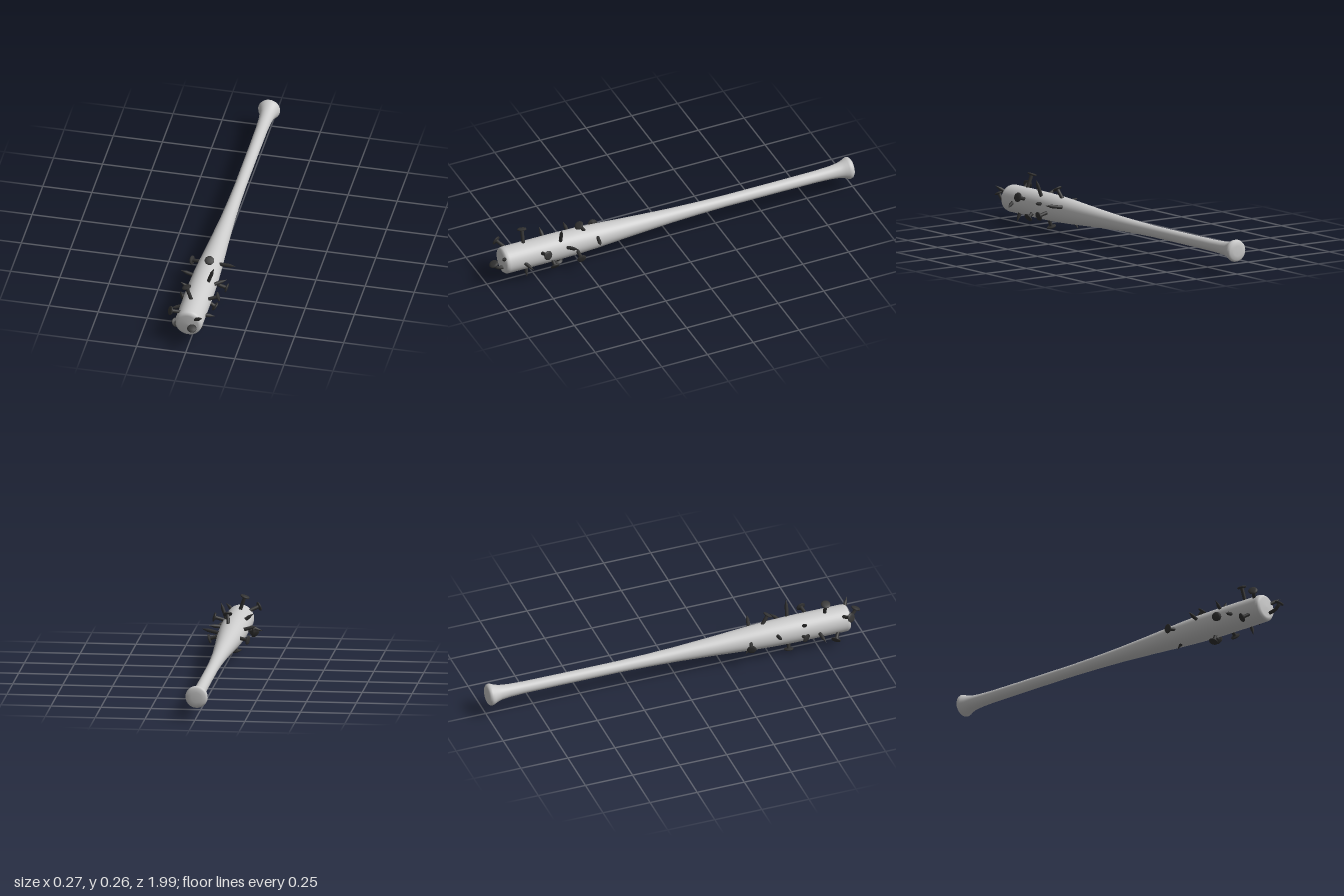
import * as THREE from 'three';

const V = (x, y, z) => new THREE.Vector3(x, y, z);
const UP = V(0, 1, 0);

// Nail turned around +y: cone tip at y = 0, domed head at y = len
function nailProfile(len) {
  return [[0, 0], [0.009, 0.032], [0.009, len - 0.014], [0.012, len - 0.01], [0.022, len - 0.009],
    [0.024, len - 0.006], [0.022, len - 0.002], [0.012, len], [0, len]].map(([r, y]) => new THREE.Vector2(r, y));
}

function makeNail(head, tip, material) {
  const dir = head.clone().sub(tip);
  const geo = new THREE.LatheGeometry(nailProfile(dir.length()), 14);
  const nail = new THREE.Mesh(geo, material);
  nail.position.copy(tip);
  nail.quaternion.setFromUnitVectors(UP, dir.normalize());
  nail.name = 'nail';
  return nail;
}

export function createModel() {
  const model = new THREE.Group();
  model.name = 'nailedBat';
  const wood = new THREE.MeshStandardMaterial({ color: 0xcccccc });
  const iron = new THREE.MeshStandardMaterial({ color: 0x333333 });

  // Bat: radius along z, from the knob to the barrel end
  const profile = [[0, -0.998], [0.025, -0.998], [0.045, -0.995], [0.053, -0.988], [0.056, -0.978],
    [0.053, -0.967], [0.045, -0.95], [0.038, -0.925], [0.033, -0.88], [0.03, -0.8], [0.029, -0.6],
    [0.029, -0.3], [0.032, -0.15], [0.037, 0], [0.048, 0.2], [0.061, 0.4], [0.066, 0.5], [0.069, 0.62],
    [0.069, 0.895], [0.067, 0.908], [0.061, 0.916], [0.05, 0.92], [0, 0.922]];
  const bat = new THREE.Mesh(
    new THREE.LatheGeometry(profile.map(([r, z]) => new THREE.Vector2(r, z)), 40), wood);
  bat.rotation.x = Math.PI / 2;
  bat.position.set(-0.006, 0.117, 0);
  bat.name = 'bat';
  model.add(bat);

  // Nails driven through the barrel: head position, tip position
  const nails = [
    [[-0.043, 0.255, 0.79], [0.043, 0.015, 0.80]],
    [[0.013, 0.226, 0.505], [-0.022, 0.035, 0.372]],
    [[0.108, 0.161, 0.71], [-0.133, 0.085, 0.76]],
    [[0.08, 0.058, 0.66], [-0.1, 0.192, 0.67]],
    [[0.112, 0.087, 0.53], [-0.13, 0.158, 0.525]],
    [[-0.026, 0.008, 0.6], [0.06, 0.257, 0.617]],
    [[-0.092, 0.053, 0.825], [0.073, 0.183, 0.945]],
    [[-0.103, 0.18, 0.907], [0.105, 0.095, 0.79]],
    [[-0.109, 0.118, 0.373], [0.133, 0.158, 0.437]],
    [[-0.095, 0.105, 0.673], [0.113, 0.152, 0.548]],
  ];
  for (const [head, tip] of nails) model.add(makeNail(V(...head), V(...tip), iron));

  // Bent nail in the barrel end
  const bent = new THREE.Group();
  bent.name = 'bentNail';
  const curve = new THREE.CatmullRomCurve3([
    V(0.017, 0.093, 0.89), V(0.018, 0.095, 0.925), V(0.021, 0.105, 0.952), V(0.024, 0.122, 0.968), V(0.026, 0.137, 0.975)]);
  const shaft = new THREE.Mesh(new THREE.TubeGeometry(curve, 16, 0.009, 12), iron);
  shaft.name = 'bentShaft';
  const head = new THREE.Mesh(new THREE.LatheGeometry(
    [[0, -0.006], [0.022, -0.005], [0.024, -0.002], [0.022, 0.002], [0.012, 0.005], [0, 0.005]]
      .map(([r, y]) => new THREE.Vector2(r, y)), 14), iron);
  head.position.copy(curve.getPoint(1));
  head.quaternion.setFromUnitVectors(UP, curve.getTangent(1));
  head.name = 'bentHead';
  bent.add(shaft, head);
  model.add(bent);

  return model;
}
